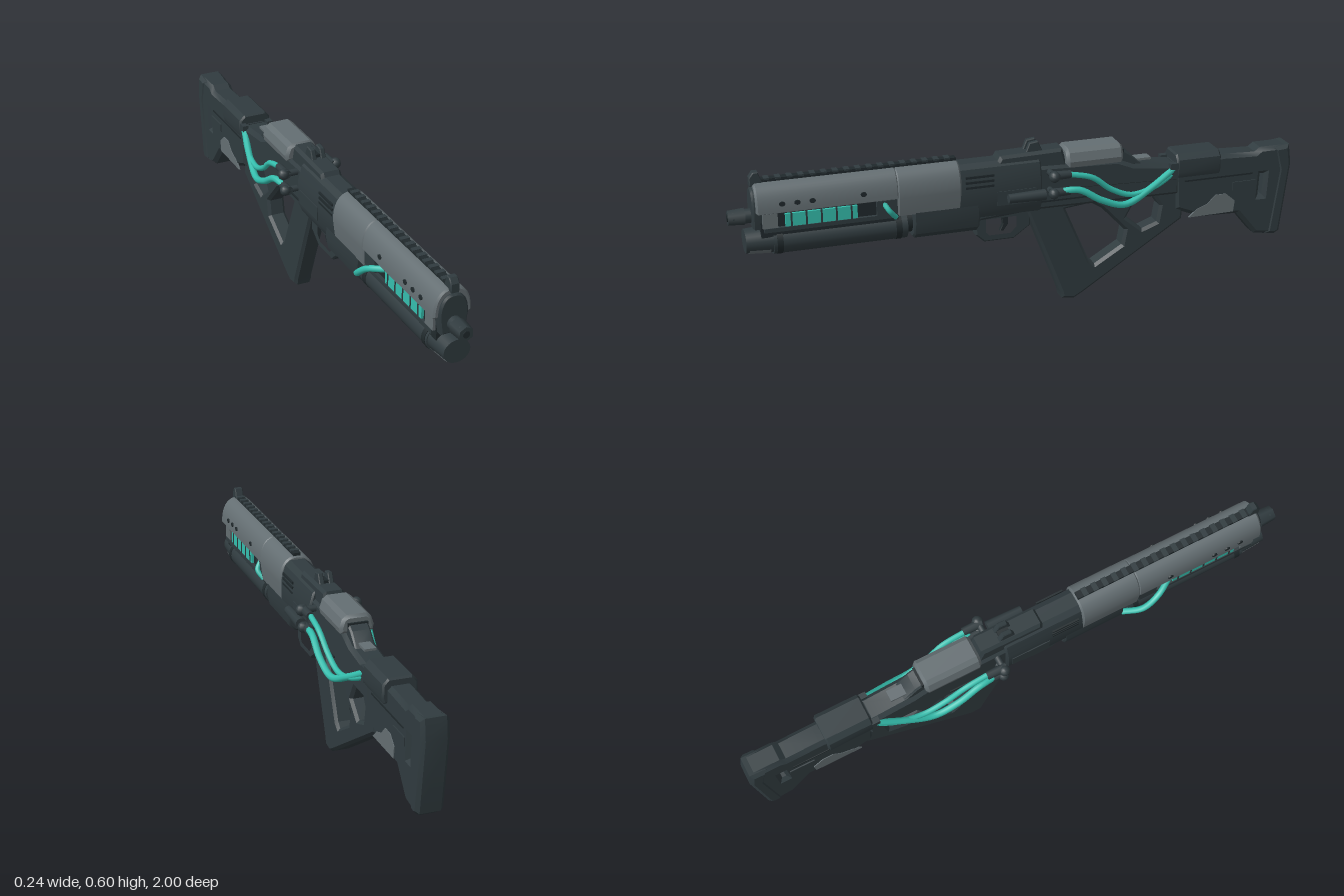
import * as THREE from 'three';
import { toCreasedNormals } from 'three/addons/utils/BufferGeometryUtils.js';

const mat = (name, color) => Object.assign(new THREE.MeshStandardMaterial({ color }), { name });

export function createModel() {
  const g = new THREE.Group();
  g.name = 'rifle';
  const dark = mat('dark metal', 0x303b3f);
  const black = mat('shadow metal', 0x20292c);
  const grey = mat('grey plating', 0x646e72);
  const teal = mat('teal energy', 0x35bfae);

  const add = (name, geo, m) => {
    const mesh = new THREE.Mesh(geo, m);
    mesh.name = name;
    g.add(mesh);
    return mesh;
  };
  const v2 = (pts) => pts.map(([a, b]) => new THREE.Vector2(a, b));
  const extrude = (pts, depth, bevel, holes) => {
    const shape = new THREE.Shape(v2(pts));
    holes.forEach((h) => shape.holes.push(new THREE.Path(v2(h))));
    const geo = new THREE.ExtrudeGeometry(shape, {
      depth: depth - 2 * bevel, bevelEnabled: bevel > 0, bevelSize: bevel,
      bevelThickness: bevel, bevelOffset: -bevel, bevelSegments: 1,
    });
    geo.translate(0, 0, bevel);
    return toCreasedNormals(geo, 0.5);
  };
  // Side profile given as [z, y], extruded across the width
  const side = (name, pts, width, m, bevel = 0.01, holes = [], x = 0) => {
    const geo = extrude(pts, width, bevel, holes);
    geo.translate(0, 0, -width / 2).rotateY(-Math.PI / 2).translate(x, 0, 0);
    return add(name, geo, m);
  };
  // Cross-section given as [x, y], extruded from z0 to z1
  const along = (name, pts, z0, z1, m, bevel = 0.006) =>
    add(name, extrude(pts, z1 - z0, bevel, []).translate(0, 0, z0), m);
  const mirror = (half) => [...half, ...half.slice().reverse().map(([x, y]) => [-x, y])];
  const box = (name, w, h, d, x, y, z, m) =>
    add(name, new THREE.BoxGeometry(w, h, d).translate(x, y, z), m);
  const rod = (name, r0, r1, z0, z1, x, y, m, sy = 1, seg = 20) =>
    add(name, new THREE.CylinderGeometry(r1, r0, z1 - z0, seg)
      .rotateX(Math.PI / 2).scale(1, sy, 1).translate(x, y, (z0 + z1) / 2), m);
  const tube = (name, pts, r, m) => add(name, new THREE.TubeGeometry(
    new THREE.CatmullRomCurve3(pts.map((p) => new THREE.Vector3(...p))), 36, r, 8), m);

  // Arched upper shroud, deeper behind the energy window
  const arch = (base, rx, top) => {
    const half = [[rx - 0.008, base]];
    for (let i = 0; i <= 10; i++) {
      const a = (i / 10) * Math.PI / 2 * 0.95;
      half.push([rx * Math.cos(a) ** 0.8, 0.47 + (top - 0.47) * Math.sin(a) ** 0.9]);
    }
    return mirror(half);
  };
  along('shroudFront', arch(0.466, 0.065, 0.563), 0.44, 0.915, grey);
  along('shroudRear', arch(0.405, 0.066, 0.563), 0.225, 0.445, grey);
  along('shroudNose', arch(0.41, 0.05, 0.545), 0.86, 0.925, dark);
  box('topRail', 0.026, 0.016, 0.68, 0, 0.564, 0.57, black);
  for (let i = 0; i < 17; i++) box('railTooth', 0.03, 0.006, 0.018, 0, 0.572, 0.26 + i * 0.038, dark);
  side('frontSight', [[0.925, 0.55], [0.925, 0.58], [0.912, 0.598], [0.895, 0.598], [0.88, 0.56]], 0.03, dark, 0.003);

  // Barrel and muzzle
  rod('barrel', 0.024, 0.024, 0.85, 0.985, 0, 0.447, dark);
  rod('muzzle', 0.03, 0.026, 0.945, 1.0, 0, 0.447, dark, 1, 6);
  rod('bore', 0.012, 0.012, 0.99, 1.002, 0, 0.447, black);

  // Energy chamber between shroud and fore-end
  box('chamberCore', 0.09, 0.10, 0.46, 0, 0.43, 0.67, black);
  for (const s of [-1, 1]) {
    box('energyWindow', 0.012, 0.045, 0.24, s * 0.048, 0.437, 0.70, teal);
    for (let i = 0; i < 5; i++) box('windowRib', 0.008, 0.05, 0.006, s * 0.052, 0.436, 0.6 + i * 0.05, dark);
    box('chamberRail', 0.014, 0.014, 0.44, s * 0.05, 0.408, 0.67, dark);
    box('chamberBlock', 0.02, 0.05, 0.07, s * 0.047, 0.44, 0.48, dark);
    box('chamberFrontBlock', 0.02, 0.05, 0.05, s * 0.045, 0.44, 0.87, grey);
    for (const z of [0.83, 0.78, 0.73, 0.56]) {
      add('vent', new THREE.CylinderGeometry(0.008, 0.008, 0.006, 12)
        .rotateZ(Math.PI / 2).scale(1, 1, 1.3).translate(s * 0.063, 0.499, z), black);
    }
  }

  // Fore-end grip
  rod('foreEnd', 0.056, 0.056, 0.41, 0.86, 0, 0.357, dark, 0.87, 28);
  rod('foreEndCap', 0.052, 0.046, 0.86, 0.95, 0, 0.36, dark, 0.87, 28);
  add('capUnderPlate', new THREE.CylinderGeometry(0.049, 0.054, 0.07, 20, 1, true, -1.1, 2.2)
    .rotateX(Math.PI / 2).scale(1, 0.88, 1).translate(0, 0.36, 0.905), grey).material.side = THREE.DoubleSide;
  for (const z of [0.43, 0.83]) rod('foreEndBand', 0.058, 0.058, z, z + 0.02, 0, 0.357, black, 0.87, 28);
  along('handguard', mirror([[0.03, 0.31], [0.052, 0.33], [0.06, 0.37], [0.058, 0.42]]), 0.16, 0.39, dark);
  rod('handguardCollar', 0.04, 0.04, 0.37, 0.44, 0, 0.365, black);
  tube('chamberHose', [[-0.045, 0.455, 0.57], [-0.08, 0.435, 0.51], [-0.085, 0.39, 0.45], [-0.05, 0.35, 0.39]], 0.011, teal);
  tube('chamberShortHose', [[0.05, 0.455, 0.49], [0.066, 0.43, 0.475], [0.05, 0.40, 0.45]], 0.009, teal);

  // Receiver
  along('receiverFront', mirror([[0.045, 0.36], [0.058, 0.39], [0.06, 0.48], [0.045, 0.535], [0.025, 0.55]]), -0.06, 0.24, dark);
  side('receiverLower', [[0.2, 0.42], [0.2, 0.325], [0.15, 0.345], [-0.05, 0.36], [-0.57, 0.355], [-0.57, 0.46], [-0.1, 0.47]], 0.09, dark);
  side('receiverRear', [[-0.04, 0.42], [-0.04, 0.52], [-0.34, 0.51], [-0.40, 0.485], [-0.57, 0.465], [-0.57, 0.40]], 0.095, dark, 0.014);
  for (const s of [-1, 1]) {
    for (let i = 0; i < 3; i++) box('receiverGroove', 0.006, 0.008, 0.1, s * 0.058, 0.475 + i * 0.018, 0.16, black);
    box('ejectionPanel', 0.012, 0.05, 0.14, s * 0.056, 0.425, 0.03, dark);
    box('panelSeam', 0.006, 0.006, 0.34, s * 0.046, 0.39, -0.1, black);
  }
  side('sightBase', [[0.1, 0.53], [0.08, 0.565], [-0.14, 0.57], [-0.16, 0.5], [0.1, 0.5]], 0.075, dark);
  for (const s of [-1, 1]) {
    side('rearSight', [[-0.01, 0.56], [-0.025, 0.598], [-0.055, 0.602], [-0.075, 0.56]], 0.018, dark, 0.003, [], s * 0.017);
  }
  box('sightBridge', 0.04, 0.02, 0.04, 0, 0.568, -0.045, black);

  // Grey top housing with a vented tail
  along('topHousing', mirror([[0.056, 0.505], [0.06, 0.525], [0.05, 0.555], [0.034, 0.567]]), -0.355, -0.15, grey, 0.01);
  side('housingTail', [[-0.34, 0.55], [-0.385, 0.525], [-0.43, 0.48], [-0.34, 0.48]], 0.07, dark, 0.006);
  for (let i = 0; i < 5; i++) box('housingSlot', 0.07, 0.026, 0.005, 0, 0.53, -0.348 - i * 0.003, black);
  box('tailPlate', 0.04, 0.008, 0.06, 0, 0.492, -0.44, grey);

  // Open grip frame and trigger guard
  side('gripFrame', [[-0.01, 0.37], [-0.14, 0.035], [-0.145, 0.01], [-0.19, 0.004], [-0.22, 0.02],
    [-0.59, 0.255], [-0.60, 0.37]], 0.066, dark, 0.01, [
    [[-0.155, 0.345], [-0.25, 0.355], [-0.29, 0.33], [-0.375, 0.24], [-0.365, 0.185], [-0.265, 0.125], [-0.245, 0.14]],
    [[-0.42, 0.355], [-0.48, 0.355], [-0.505, 0.315], [-0.495, 0.255], [-0.44, 0.235], [-0.38, 0.285]]]);
  side('triggerGuard', [[0.17, 0.36], [0.165, 0.285], [0.135, 0.258], [0.03, 0.258], [-0.03, 0.3], [-0.03, 0.36]], 0.045, dark, 0.005, [
    [[0.135, 0.345], [0.135, 0.29], [0.12, 0.275], [0.04, 0.275], [0.015, 0.3], [0.015, 0.345]]]);
  side('trigger', [[0.07, 0.35], [0.065, 0.31], [0.075, 0.285], [0.062, 0.285], [0.045, 0.31], [0.045, 0.35]], 0.016, black, 0.002);

  // Shoulder stock
  side('stock', [[-0.55, 0.47], [-0.74, 0.48], [-0.86, 0.475], [-0.88, 0.49], [-0.99, 0.49], [-0.998, 0.42],
    [-0.965, 0.17], [-0.95, 0.152], [-0.87, 0.165], [-0.80, 0.25], [-0.66, 0.255], [-0.56, 0.295]], 0.086, dark, 0.014, [
    [[-0.885, 0.39], [-0.9, 0.39], [-0.895, 0.31], [-0.88, 0.31]]]);
  side('buttPad', [[-0.93, 0.485], [-0.99, 0.492], [-1.0, 0.42], [-0.968, 0.165], [-0.95, 0.155], [-0.915, 0.16], [-0.95, 0.40]], 0.094, dark, 0.012);
  along('cheekRest', mirror([[0.054, 0.42], [0.06, 0.44], [0.058, 0.485], [0.04, 0.504]]), -0.72, -0.555, dark);
  for (const s of [-1, 1]) {
    side('stockPatch', [[-0.61, 0.262], [-0.64, 0.29], [-0.68, 0.305], [-0.71, 0.335], [-0.75, 0.335],
      [-0.785, 0.305], [-0.78, 0.264]], 0.006, grey, 0, [], s * 0.0425);
    box('stockSeam', 0.006, 0.006, 0.26, s * 0.042, 0.40, -0.72, black);
    box('stockRib', 0.008, 0.03, 0.09, s * 0.043, 0.36, -0.82, dark);
  }

  // Hose couplings and hoses on both sides
  for (const s of [-1, 1]) {
    for (const [y, r, x] of [[0.495, 0.018, 0.078], [0.432, 0.017, 0.072]]) {
      add('couplingArm', new THREE.CylinderGeometry(r * 0.65, r * 0.65, 0.07, 10)
        .rotateZ(Math.PI / 2).translate(s * (x - 0.005), y, -0.09), dark);
      add('couplingKnob', new THREE.SphereGeometry(r * 1.1, 10, 8).translate(s * (x + 0.02), y, -0.09), dark);
      rod('hoseSocket', 0.014, 0.016, -0.15, -0.08, s * (x + 0.01), y, dark, 1, 10);
    }
    tube('lowerHose', [[s * 0.08, 0.432, -0.1], [s * 0.09, 0.435, -0.18], [s * 0.094, 0.39, -0.26],
      [s * 0.088, 0.36, -0.35], [s * 0.07, 0.4, -0.45], [s * 0.045, 0.455, -0.55]], 0.012, teal);
    tube('upperHose', [[s * 0.085, 0.495, -0.14], [s * 0.085, 0.472, -0.23], [s * 0.08, 0.42, -0.30],
      [s * 0.075, 0.388, -0.38], [s * 0.066, 0.405, -0.47], [s * 0.045, 0.44, -0.55]], 0.01, teal);
    box('hoseClamp', 0.02, 0.05, 0.03, s * 0.048, 0.45, -0.545, dark);
  }
  rod('sideRod', 0.02, 0.016, -0.06, 0.07, 0.088, 0.432, dark, 1, 10);
  return g;
}
